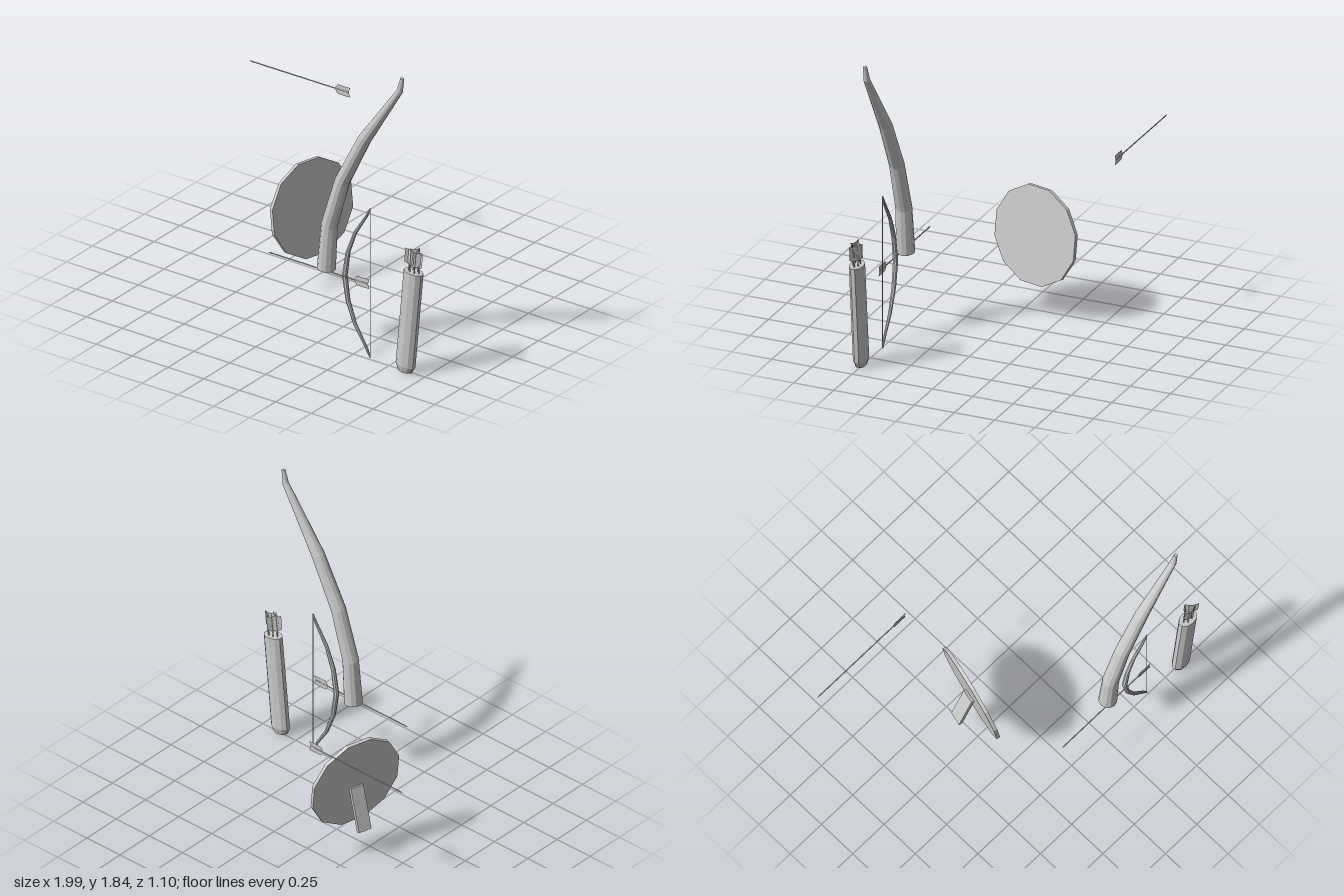
import * as THREE from 'three';

const mat = new THREE.MeshStandardMaterial({ color: 0xcccccc, flatShading: true });
const thinMat = new THREE.MeshStandardMaterial({ color: 0xcccccc, side: THREE.DoubleSide });

function add(parent, name, geometry, material = mat) {
  const mesh = new THREE.Mesh(geometry, material);
  mesh.name = name;
  parent.add(mesh);
  return mesh;
}

function group(parent, name) {
  const g = new THREE.Group();
  g.name = name;
  parent.add(g);
  return g;
}

// Capped tapering limb swept through [x, y, z, radius] rings that climb in the XY plane
function taperedLimb(rings, sides) {
  const pos = [], index = [];
  rings.forEach(([x, y, z, r], i) => {
    const a = rings[Math.max(i - 1, 0)], b = rings[Math.min(i + 1, rings.length - 1)];
    const len = Math.hypot(b[0] - a[0], b[1] - a[1]);
    const tx = (b[0] - a[0]) / len, ty = (b[1] - a[1]) / len;
    for (let s = 0; s < sides; s++) {
      const t = (s / sides) * Math.PI * 2, u = r * Math.cos(t);
      pos.push(x + ty * u, y - tx * u, z + r * Math.sin(t));
    }
  });
  for (let i = 0; i < rings.length - 1; i++) {
    for (let s = 0; s < sides; s++) {
      const a = i * sides + s, b = i * sides + ((s + 1) % sides);
      index.push(a, a + sides, b, b, a + sides, b + sides);
    }
  }
  const top = (rings.length - 1) * sides;
  for (let s = 1; s < sides - 1; s++) {
    index.push(0, s, s + 1, top, top + s + 1, top + s);
  }
  const geo = new THREE.BufferGeometry();
  geo.setAttribute('position', new THREE.Float32BufferAttribute(pos, 3));
  geo.setIndex(index);
  geo.computeVertexNormals();
  return geo;
}

// Arrow with its nock at the origin, pointing along -x
function makeArrow(parent, name) {
  const arrow = group(parent, name);
  const shaft = add(arrow, 'arrowShaft', new THREE.CylinderGeometry(0.0035, 0.0035, 0.675, 6));
  shaft.rotation.z = Math.PI / 2;
  shaft.position.x = -0.3475;
  const tip = add(arrow, 'arrowHead', new THREE.ConeGeometry(0.005, 0.03, 6));
  tip.rotation.z = Math.PI / 2;
  tip.position.x = -0.695;
  const vane = new THREE.Shape([
    [-0.108, 0], [-0.088, 0.03], [0, 0.03], [-0.012, 0], [0, -0.03], [-0.088, -0.03],
  ].map(([x, y]) => new THREE.Vector2(x, y)));
  add(arrow, 'fletching', new THREE.ShapeGeometry(vane), thinMat);
  return arrow;
}

export function createModel() {
  const model = new THREE.Group();
  model.name = 'archerySet';

  // Large curved horn
  add(model, 'horn', taperedLimb([
    [0.303, 0.48, 0.487, 0.054],
    [0.325, 0.76, 0.488, 0.048],
    [0.417, 1.065, 0.49, 0.044],
    [0.57, 1.37, 0.49, 0.039],
    [0.82, 1.75, 0.493, 0.019],
    [0.838, 1.835, 0.494, 0.011],
  ], 12));

  // Bow: one half profile mirrored about the grip
  const bow = group(model, 'bow');
  const half = [
    [0.612, 0.47, 0.004], [0.588, 0.42, 0.008], [0.507, 0.29, 0.011],
    [0.457, 0.155, 0.014], [0.434, 0, 0.016],
  ];
  const limb = [
    ...half.map(([x, y, r]) => [x, 0.475 - y, 0.49, r]),
    ...half.slice(0, -1).reverse().map(([x, y, r]) => [x, 0.475 + y, 0.49, r]),
  ];
  add(bow, 'bowLimbs', taperedLimb(limb, 8));
  const string = add(bow, 'bowString', new THREE.CylinderGeometry(0.002, 0.002, 0.93, 5));
  string.position.set(0.611, 0.475, 0.49);

  // Nocked arrow and flying arrow
  makeArrow(model, 'nockedArrow').position.set(0.62, 0.478, 0.51);
  makeArrow(model, 'flyingArrow').position.set(-0.278, 1.0, -0.548);

  // Leaning quiver with an oval section
  const quiver = group(model, 'quiver');
  quiver.position.set(0.865, 0.004, 0.505);
  quiver.rotation.z = -0.093;
  const body = add(quiver, 'quiverBody', new THREE.LatheGeometry(
    [[0, 0], [0.045, 0], [0.063, 0.04], [0.063, 0.645], [0, 0.645]]
      .map(([x, y]) => new THREE.Vector2(x, y)), 10));
  body.scale.z = 0.66;
  [[-0.034, 0, 0.5], [-0.016, 0.016, -0.4], [-0.014, -0.016, 0.9],
    [0.016, 0.016, 0.4], [0.018, -0.016, -0.8], [0.036, 0, -0.5]].forEach(([x, z, spin], i) => {
    const arrow = makeArrow(quiver, 'quiverArrow' + (i + 1));
    arrow.position.set(x, 0.785, z);
    arrow.rotation.set(0, spin, Math.PI / 2);
  });

  // Twelve-sided target leaning back on a strut; local x is its facing direction
  const target = group(model, 'target');
  target.position.set(-0.215, 0.48, -0.087);
  target.rotation.set(0, -0.257, 0.12, 'YZX');
  const disc = add(target, 'targetDisc',
    new THREE.CylinderGeometry(0.298, 0.298, 0.022, 12, 1, false, Math.PI / 12));
  disc.rotation.z = -Math.PI / 2;
  const strut = add(target, 'targetStrut', new THREE.BoxGeometry(0.022, 0.27, 0.085));
  strut.position.set(-0.073, -0.15, 0);
  strut.rotation.z = -0.43;

  return model;
}
